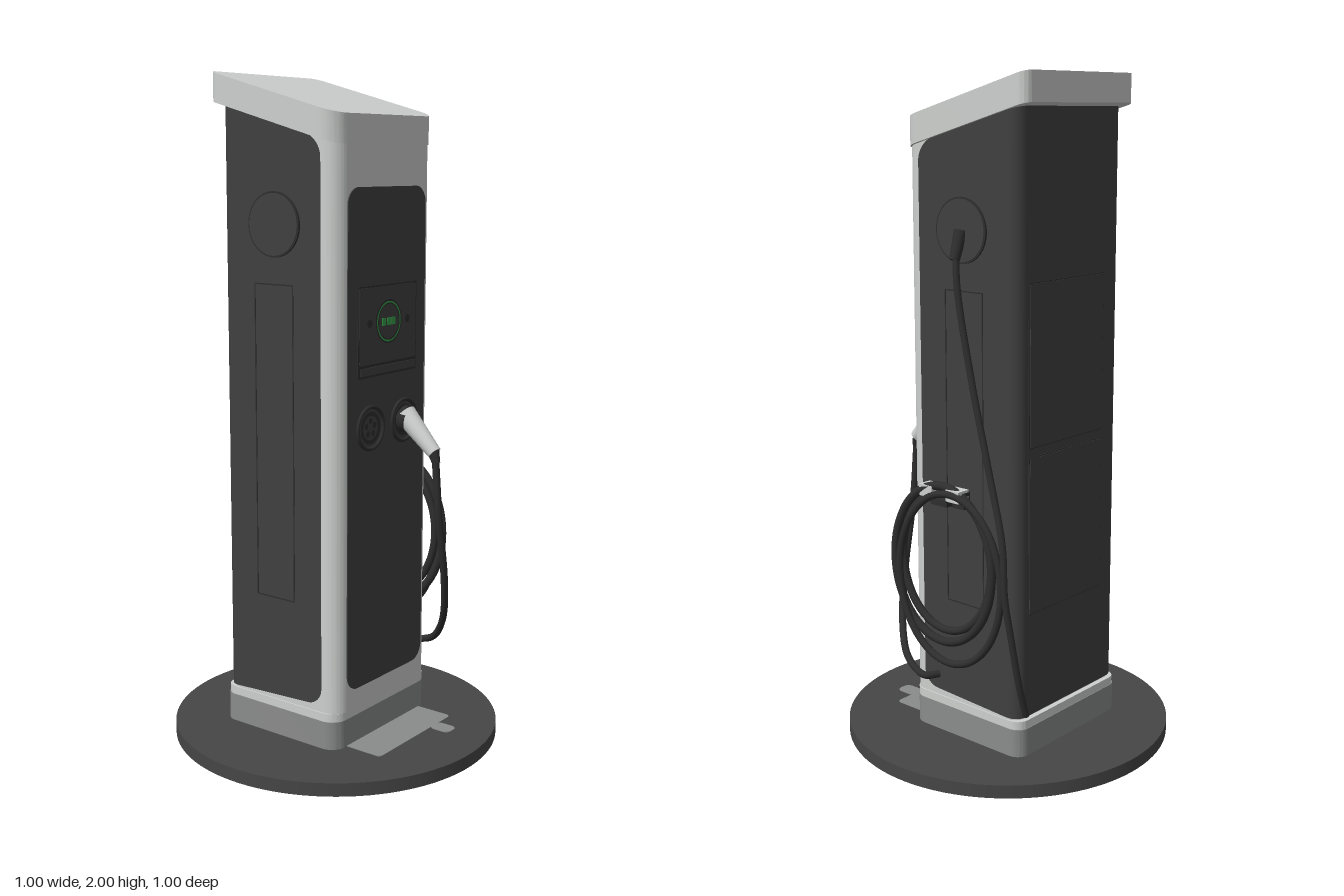
import * as THREE from 'three';
import { toCreasedNormals } from 'three/addons/utils/BufferGeometryUtils.js';

const mat = (name, color, side = THREE.FrontSide) => {
  const m = new THREE.MeshStandardMaterial({ color, side });
  m.name = name;
  return m;
};

// height of the sloping roof at depth z
const roofY = z => 1.875 + (0.185 - z) * 0.275;

// rounded rectangle with separate radii for its lower and upper corners
function roundRect(x0, x1, y0, y1, r0, r1 = r0) {
  const s = new THREE.Shape();
  s.moveTo(x0 + r0, y0);
  s.lineTo(x1 - r0, y0);
  s.absarc(x1 - r0, y0 + r0, r0, -Math.PI / 2, 0);
  s.lineTo(x1, y1 - r1);
  s.absarc(x1 - r1, y1 - r1, r1, 0, Math.PI / 2);
  s.lineTo(x0 + r1, y1);
  s.absarc(x0 + r1, y1 - r1, r1, Math.PI / 2, Math.PI);
  s.lineTo(x0, y0 + r0);
  s.absarc(x0 + r0, y0 + r0, r0, Math.PI, Math.PI * 1.5);
  return s;
}

// upright prism whose bottom and top heights may depend on z
function column(halfW, zFront, zBack, rFront, rBack, bottom, top) {
  let g = new THREE.ExtrudeGeometry(roundRect(-halfW, halfW, -zFront, -zBack, rFront, rBack),
    { depth: 1, bevelEnabled: false, curveSegments: 8 });
  g.rotateX(-Math.PI / 2);
  const p = g.attributes.position;
  for (let i = 0; i < p.count; i++) p.setY(i, (p.getY(i) > 0.5 ? top : bottom)(p.getZ(i)));
  return toCreasedNormals(g, 0.6);
}

// dark skin wrapped around the sides and back, with rounded front corners
function wrapSkin(halfW, zFront, zBack, r, cornerR) {
  const path = [];
  for (let i = 0; i <= 10; i++) path.push([halfW, zFront - cornerR * (1 - Math.cos(i * Math.PI / 20))]);
  for (let i = 0; i <= 8; i++) {
    const a = i * Math.PI / 16;
    path.push([halfW - r + r * Math.cos(a), zBack + r - r * Math.sin(a)]);
  }
  const full = [...path, ...path.slice().reverse().map(([x, z]) => [-x, z])];
  const pos = [], idx = [];
  full.forEach(([x, z], i) => {
    const u = Math.max(0, cornerR - (zFront - z));
    const inset = cornerR - Math.sqrt(Math.max(0, cornerR * cornerR - u * u));
    pos.push(x, 0.155 + 0.05 * (z + 0.24) + inset, z, x, roofY(z) - 0.083 - inset, z);
    if (i) {
      const a = 2 * i - 2;
      idx.push(a, a + 2, a + 1, a + 1, a + 2, a + 3);
    }
  });
  const g = new THREE.BufferGeometry();
  g.setAttribute('position', new THREE.Float32BufferAttribute(pos, 3));
  g.setIndex(idx);
  g.computeVertexNormals();
  return g;
}

export function createModel() {
  const root = new THREE.Group();
  const light = mat('lightGrey', 0xcdd0ce);
  const mid = mat('plinthGrey', 0x8a8c8b);
  const dark = mat('darkGrey', 0x404040);
  const skin = mat('sidePanelGrey', 0x404040, THREE.DoubleSide);
  const black = mat('nearBlack', 0x2e2e2e);
  const floor = mat('baseGrey', 0x464646);
  const green = mat('indicatorGreen', 0x35a04a);

  const add = (name, geo, material, x = 0, y = 0, z = 0, parent = root) => {
    const m = new THREE.Mesh(geo, material);
    m.name = name;
    m.position.set(x, y, z);
    parent.add(m);
    return m;
  };
  const plate = (shape, depth) => new THREE.ExtrudeGeometry(shape, { depth, bevelEnabled: false, curveSegments: 10 });
  const box = (w, h, d) => new THREE.BoxGeometry(w, h, d);
  const V = (x, y, z) => new THREE.Vector3(x, y, z);
  const tube = (name, pts, r, closed = false) => add(name, new THREE.TubeGeometry(
    new THREE.CatmullRomCurve3(pts.map(p => V(...p)), closed), 80, r, 10, closed), black);
  // tapered rod between two points
  const rod = (name, a, b, r0, r1, material) => {
    const d = b.clone().sub(a);
    const m = add(name, new THREE.CylinderGeometry(r1, r0, d.length(), 20), material);
    m.position.copy(a).addScaledVector(d, 0.5);
    m.quaternion.setFromUnitVectors(V(0, 1, 0), d.normalize());
  };

  // base and floor marking
  add('baseDisc', new THREE.CylinderGeometry(0.5, 0.5, 0.04, 96), floor, 0, 0.02, 0);
  const marking = plate(roundRect(-0.185, 0.19, -0.305, -0.17, 0.015), 0.002).rotateX(-Math.PI / 2);
  add('floorMarking', marking, mid, 0, 0.04, 0);
  add('floorMarkingTab', plate(roundRect(0.075, 0.127, -0.37, -0.3, 0.02), 0.002).rotateX(-Math.PI / 2), mid, 0, 0.04, 0);

  // column and roof
  add('plinth', column(0.242, 0.183, -0.25, 0.05, 0.04, () => 0.04, () => 0.125), mid);
  add('foot', column(0.24, 0.184, -0.248, 0.05, 0.04, () => 0.125, () => 0.15), light);
  add('columnBody', column(0.235, 0.186, -0.232, 0.05, 0.04, () => 0.15, z => roofY(z) - 0.04), light);
  add('sideAndBackSkin', wrapSkin(0.239, 0.13, -0.237, 0.04, 0.05), skin);
  add('roof', column(0.248, 0.186, -0.27, 0.06, 0.03, z => roofY(z) - 0.083, roofY), light);

  // front panel with display
  add('frontPanel', plate(roundRect(-0.19, 0.19, 0.21, 1.675, 0.05), 0.004), dark, 0, 0, 0.185);
  add('displayFrame', plate(roundRect(-0.145, 0.143, 1.135, 1.398, 0.006), 0.002), black, 0, 0, 0.189);
  add('displayFace', plate(roundRect(-0.14, 0.138, 1.173, 1.393, 0.005), 0.002), dark, 0, 0, 0.1905);
  add('readerStrip', box(0.27, 0.022, 0.006), dark, 0, 1.153, 0.191);
  add('indicatorRing', new THREE.RingGeometry(0.05, 0.064, 48), black, 0, 1.29, 0.1935);
  add('indicatorLight', new THREE.RingGeometry(0.054, 0.059, 48), green, 0, 1.29, 0.194);
  for (const i of [-1, 0, 1]) add('indicatorBar', box(0.018, 0.022, 0.002), green, i * 0.024, 1.29, 0.193);
  for (const s of [-1, 1]) {
    add('displayButton', new THREE.CircleGeometry(0.012, 20), black, s * 0.093, 1.29, 0.1935);
    // charging socket
    const socket = new THREE.Group();
    socket.name = 'socket';
    socket.position.set(s * 0.084, 0.987, 0.189);
    root.add(socket);
    add('socketFace', new THREE.CircleGeometry(0.066, 40), dark, 0, 0, 0.001, socket);
    add('socketRim', new THREE.TorusGeometry(0.062, 0.006, 8, 40), black, 0, 0, 0.002, socket);
    add('socketInset', new THREE.RingGeometry(0.036, 0.048, 32), black, 0, 0, 0.002, socket);
    for (let i = 0; i < 5; i++) {
      const a = i * Math.PI * 0.4 + Math.PI / 2;
      add('socketPin', new THREE.CircleGeometry(0.009, 12), black, 0.021 * Math.cos(a), 0.021 * Math.sin(a), 0.002, socket);
    }
    // round cover and door outline on each side
    add('sideCoverRim', new THREE.CylinderGeometry(0.093, 0.093, 0.008, 48).rotateZ(Math.PI / 2), black, s * 0.241, 1.57, -0.035);
    add('sideCover', new THREE.CylinderGeometry(0.088, 0.088, 0.008, 48).rotateZ(Math.PI / 2), dark, s * 0.243, 1.57, -0.035);
    for (const z of [0.03, -0.11]) add('sideDoorSeam', box(0.002, 0.93, 0.004), black, s * 0.239, 0.935, z);
    for (const y of [0.47, 1.4]) add('sideDoorSeam', box(0.002, 0.004, 0.14), black, s * 0.239, y, -0.04);
  }

  // rear service doors
  for (const y of [0.47, 0.965]) {
    add('rearDoorEdge', box(0.34, 0.47, 0.004), black, 0.02, y + 0.235, -0.238);
    add('rearDoor', box(0.334, 0.464, 0.006), dark, 0.02, y + 0.235, -0.239);
  }

  // front plug and its cable
  rod('plugCollar', V(0.084, 0.99, 0.188), V(0.084, 0.985, 0.212), 0.042, 0.036, black);
  rod('plugHandle', V(0.084, 1.005, 0.195), V(0.08, 0.9, 0.305), 0.034, 0.021, light);
  rod('plugSleeve', V(0.08, 0.905, 0.3), V(0.078, 0.87, 0.313), 0.018, 0.012, black);
  tube('plugCable', [[0.078, 0.88, 0.31], [0.09, 0.7, 0.317], [0.138, 0.5, 0.308], [0.2, 0.35, 0.265],
    [0.255, 0.26, 0.195], [0.278, 0.23, 0.13], [0.28, 0.222, 0.09], [0.24, 0.22, 0.07]], 0.011);

  // side cable: hangs from the cover, slack loop and tail round the rear corner
  rod('cableGland', V(0.243, 1.57, -0.035), V(0.268, 1.49, -0.033), 0.02, 0.015, black);
  tube('hangingCable', [[0.262, 1.52, -0.034], [0.272, 1.42, -0.045], [0.273, 1.15, -0.1], [0.275, 0.9, -0.165],
    [0.285, 0.7, -0.222], [0.29, 0.55, -0.235], [0.275, 0.42, -0.247], [0.25, 0.28, -0.254], [0.215, 0.17, -0.252]], 0.01);
  const loop = (cz, cy, rz, ry, x) => Array.from({ length: 16 }, (_, i) => {
    const a = i * Math.PI / 8;
    return [x + 0.012 * Math.cos(a), cy + ry * Math.sin(a), cz + rz * Math.cos(a)];
  });
  tube('coilOuter', loop(0.02, 0.59, 0.182, 0.24, 0.275), 0.013, true);
  tube('coilInner', loop(0.02, 0.595, 0.165, 0.215, 0.258), 0.012, true);
  tube('coilSlack', loop(-0.02, 0.555, 0.19, 0.26, 0.29), 0.011, true);

  // cable hook
  add('hookPlate', box(0.03, 0.05, 0.15), black, 0.252, 0.795, 0.015);
  add('hookArm', box(0.055, 0.02, 0.06), black, 0.265, 0.785, 0.015);
  for (const z of [0.07, -0.035]) add('hookClip', box(0.045, 0.035, 0.05), light, 0.268, 0.81, z);

  return root;
}
